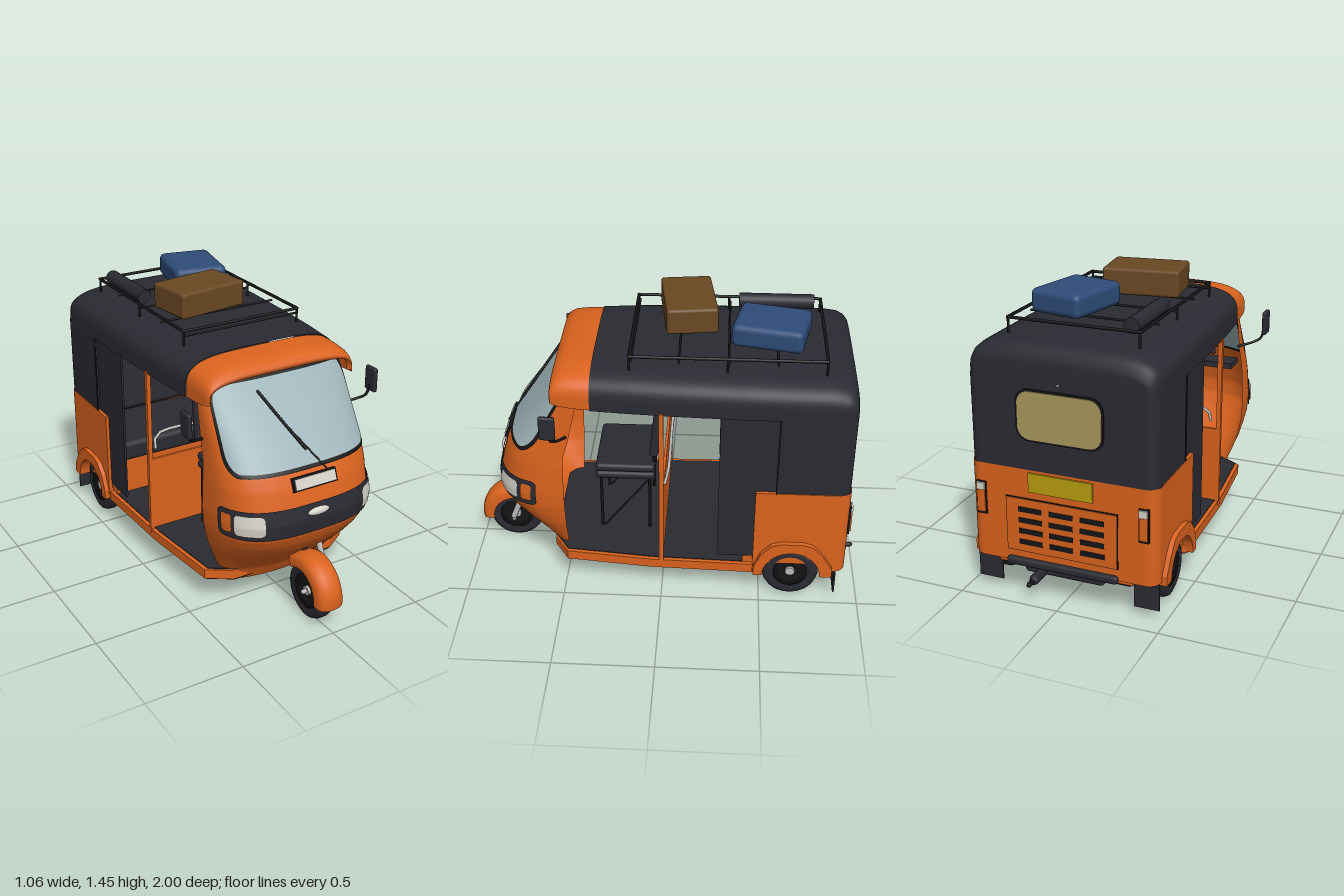
import * as THREE from 'three';
import { RoundedBoxGeometry } from 'three/addons/geometries/RoundedBoxGeometry.js';

const paint = (name, color, side = THREE.DoubleSide) => {
  const m = new THREE.MeshStandardMaterial({ color, side });
  m.name = name;
  return m;
};

export function createModel() {
  const orange = paint('orange', 0xdb631e), charcoal = paint('charcoal', 0x2a2a32), black = paint('black', 0x151517);
  const glass = paint('glass', 0xa0b6bb), white = paint('lampWhite', 0xd6d3c9), silver = paint('silver', 0xbdbdb9);
  const brown = paint('brown', 0x6a4823), blue = paint('blue', 0x2e4c78), yellow = paint('yellow', 0xb89c10), tan = paint('tan', 0xa8985c);
  const root = new THREE.Group();
  root.name = 'threeWheeler';

  const add = (name, geo, mat, x = 0, y = 0, z = 0) => {
    const m = new THREE.Mesh(geo, mat);
    m.name = name;
    m.position.set(x, y, z);
    root.add(m);
    return m;
  };
  const box = (name, mat, w, h, d, x, y, z) => add(name, new THREE.BoxGeometry(w, h, d), mat, x, y, z);
  const soft = (name, mat, w, h, d, x, y, z, r = 0.02) => add(name, new RoundedBoxGeometry(w, h, d, 3, r), mat, x, y, z);
  const rod = (name, mat, r, ...pts) => {
    const v = pts.map(p => new THREE.Vector3(...p));
    const path = v.length > 2 ? new THREE.CatmullRomCurve3(v) : new THREE.LineCurve3(v[0], v[1]);
    const g = new THREE.Group();
    g.name = name;
    const part = geo => g.add(new THREE.Mesh(geo, mat));
    part(new THREE.TubeGeometry(path, v.length > 2 ? 20 : 1, r, 8));
    [v[0], v[v.length - 1]].forEach(p => part(new THREE.SphereGeometry(r, 8, 6).translate(p.x, p.y, p.z)));
    root.add(g);
  };
  // Bends a plane by a rule (u, v) -> [x, y, z]
  const sheet = (nu, nv, rule) => {
    const g = new THREE.PlaneGeometry(1, 1, nu, nv), p = g.attributes.position, t = g.attributes.uv;
    for (let i = 0; i < p.count; i++) p.setXYZ(i, ...rule(t.getX(i), t.getY(i)));
    g.computeVertexNormals();
    return g;
  };
  // Linear lookup in rows of [key, ...values]
  const lookup = (rows, k) => {
    let i = 1;
    while (i < rows.length - 1 && rows[i][0] < k) i++;
    const a = rows[i - 1], b = rows[i], t = (k - a[0]) / (b[0] - a[0]);
    return a.map((q, j) => q + (b[j] - q) * t);
  };

  // Front cowl: plan superellipses by height [y, half width, front z, rear z, exponent]
  const levels = [
    [0.125, 0.29, 0.565, 0.485, 2], [0.2, 0.325, 0.61, 0.485, 2], [0.265, 0.352, 0.68, 0.485, 2.1],
    [0.36, 0.387, 0.77, 0.485, 2.4], [0.42, 0.4, 0.812, 0.485, 2.7], [0.48, 0.41, 0.84, 0.485, 3],
    [0.56, 0.415, 0.848, 0.485, 3], [0.64, 0.412, 0.83, 0.485, 3], [0.72, 0.41, 0.806, 0.485, 3],
    [0.79, 0.405, 0.772, 0.48, 3], [0.87, 0.4, 0.712, 0.455, 3], [1.07, 0.395, 0.555, 0.41, 3], [1.18, 0.385, 0.475, 0.38, 3]];
  const cowlPoint = (deg, y, off = 0) => {
    const [, w, zf, zr, n] = lookup(levels, y), a = THREE.MathUtils.degToRad(deg);
    const s = Math.abs(Math.sin(a)), c = Math.max(0, Math.cos(a)), sg = Math.sign(a);
    const nx = s ** (2 - 2 / n) / w, nz = c ** (2 - 2 / n) / (zf - zr), l = Math.hypot(nx, nz);
    return [sg * (w * s ** (2 / n) + off * nx / l), y, zr + (zf - zr) * c ** (2 / n) + off * nz / l];
  };
  add('frontCowl', sheet(56, 72, (u, v) => cowlPoint(180 * u - 90, 0.125 + 1.055 * v)), orange);
  // Rounded patch lying on the cowl between two angles and two heights
  const patch = (name, mat, a0, a1, y0, y1, r, off, ra = r * 170) => add(name, sheet(40, 28, (u, v) => {
    const y = y0 + (y1 - y0) * (0.5 - 0.5 * Math.cos(Math.PI * v));
    const k = Math.max(0, 1 - Math.min(y - y0, y1 - y) / r), inset = ra * (1 - Math.sqrt(1 - Math.min(1, k * k)));
    return cowlPoint(a0 + inset + (a1 - a0 - 2 * inset) * u, y, off);
  }), mat);
  for (const s of [1, -1]) {
    patch('windshieldRim', black, -65, 65, 0.785, 1.172, 0.09, s * 0.006);
    patch('windshield', glass, -60, 60, 0.803, 1.156, 0.08, s * 0.01);
  }
  patch('lampBezel', charcoal, -76, 76, 0.49, 0.637, 0.03, 0.007);
  for (const s of [1, -1]) {
    const side = (name, mat, a, b, y0, y1, r, off) => patch(name, mat, Math.min(s * a, s * b), Math.max(s * a, s * b), y0, y1, r, off);
    side('headlight', white, 31, 59, 0.515, 0.62, 0.025, 0.014);
    side('frontIndicator', orange, 62, 72, 0.52, 0.615, 0.015, 0.012);
  }
  const badge = add('noseLamp', new THREE.SphereGeometry(1, 20, 12), white, 0, 0.594, 0.846);
  badge.scale.set(0.06, 0.02, 0.018);
  box('frontPlateFrame', black, 0.24, 0.066, 0.02, 0, 0.735, 0.802).rotation.x = -0.38;
  box('frontPlate', white, 0.222, 0.05, 0.02, 0, 0.736, 0.806).rotation.x = -0.38;
  // Wiper follows the windshield
  const onGlass = (x, y) => {
    const [, w] = lookup(levels, y);
    const deg = Math.sign(x) * THREE.MathUtils.radToDeg(Math.asin((Math.abs(x) / w) ** 1.5));
    return cowlPoint(deg, y, 0.026);
  };
  rod('wiperArm', black, 0.004, onGlass(0.065, 0.78), onGlass(0.03, 0.83), onGlass(-0.08, 0.99));
  rod('wiperBlade', black, 0.007, onGlass(-0.15, 1.115), onGlass(-0.08, 0.99), onGlass(-0.01, 0.87));

  // Roof arches by station [z, half width, top, hem]
  const roof = (name, mat, rows) => add(name, sheet(40, rows.length - 1, (u, v) => {
    const [z, w, top, hem] = rows[Math.round(v * (rows.length - 1))], a = Math.PI * u, c = Math.cos(a);
    return [Math.sign(c) * w * Math.abs(c) ** 0.5, hem + (top - hem) * Math.max(0, Math.sin(a)) ** 0.5, z];
  }), mat);
  roof('roofVisor', orange, [[0.34, 0.414, 1.25, 1.07], [0.42, 0.411, 1.247, 1.073], [0.48, 0.407, 1.238, 1.08],
    [0.51, 0.403, 1.222, 1.085], [0.527, 0.398, 1.203, 1.09], [0.532, 0.392, 1.185, 1.095], [0.5, 0.385, 1.18, 1.095]]);
  roof('canvasRoof', charcoal, [[0.34, 0.418, 1.254, 1.068], [0.15, 0.436, 1.257, 1.07], [-0.1, 0.45, 1.258, 1.07],
    [-0.4, 0.46, 1.257, 1.07], [-0.8, 0.464, 1.252, 1.07], [-0.86, 0.462, 1.243, 1.07], [-0.895, 0.452, 1.223, 1.07],
    [-0.915, 0.436, 1.196, 1.07], [-0.922, 0.41, 1.165, 1.07], [-0.922, 0.01, 1.08, 1.07]]);

  // Rear walls: a U-shaped plan with rounded corners
  const rearWall = (name, mat, zFront, zBack, w, r, y0, y1) => {
    const plan = [[w, zFront]];
    for (let i = 0; i <= 8; i++) plan.push([w - r + r * Math.cos(i * Math.PI / 16), zBack + r - r * Math.sin(i * Math.PI / 16)]);
    const pts = plan.concat(plan.map(([x, z]) => [-x, z]).reverse());
    add(name, sheet(pts.length - 1, 1, (u, v) => {
      const [x, z] = pts[Math.round(u * (pts.length - 1))];
      return [x, y0 + (y1 - y0) * v, z];
    }), mat);
  };
  rearWall('rearCanvas', charcoal, -0.56, -0.922, 0.462, 0.055, 0.64, 1.075);
  rearWall('rearBody', orange, -0.85, -0.927, 0.466, 0.06, 0.18, 0.655);

  // Side plates drawn in (z, y), extruded along x, outer face at x1
  const sidePlate = (name, mat, pts, arch, depth, x1) => {
    const s = new THREE.Shape();
    pts.forEach(([z, y], i) => (i ? s.lineTo(z, y) : s.moveTo(z, y)));
    if (arch) s.absarc(-0.655, 0.16, 0.145, Math.PI, 0, true);
    add(name, new THREE.ExtrudeGeometry(s, { depth, bevelEnabled: false, curveSegments: 20 }).rotateY(-Math.PI / 2), mat, x1);
  };
  for (const s of [1, -1]) {
    const at = (outer, depth) => (s > 0 ? outer : -outer + depth);
    sidePlate('rearSide', orange, [[-0.51, 0.16], [-0.46, 0.16], [-0.46, 0.655], [-0.86, 0.655], [-0.86, 0.18], [-0.8, 0.16]], true, 0.02, at(0.466, 0.02));
    sidePlate('rearFender', orange, [[-0.51, 0.16], [-0.465, 0.16], [-0.465, 0.21], [-0.5, 0.29], [-0.55, 0.345], [-0.6, 0.36],
      [-0.71, 0.36], [-0.76, 0.345], [-0.81, 0.29], [-0.86, 0.21], [-0.86, 0.16], [-0.8, 0.16]], true, 0.06, at(0.49, 0.06));
    sidePlate('sideCurtain', charcoal, [[-0.28, 0.25], [-0.28, 1.08], [-0.57, 1.08], [-0.57, 0.25]], false, 0.012, at(0.449, 0.012));
    box('canvasSeam', black, 0.006, 0.42, 0.008, s * 0.463, 0.86, -0.56);
    box('doorPillar', orange, 0.022, 0.9, 0.022, s * 0.44, 0.63, 0);

    // Mirrors
    rod('mirrorArm', black, 0.007, [s * 0.39, 0.9, 0.46], [s * 0.47, 0.925, 0.5], [s * 0.497, 0.945, 0.52], [s * 0.51, 1.0, 0.53]);
    soft('mirror', charcoal, 0.024, 0.125, 0.078, s * 0.517, 1.028, 0.53, 0.01);

    // Tail lamps and mudflaps
    box('tailLampBase', black, 0.05, 0.165, 0.012, s * 0.405, 0.48, -0.927);
    box('tailLampTop', white, 0.04, 0.035, 0.03, s * 0.405, 0.54, -0.927);
    box('tailLamp', orange, 0.04, 0.11, 0.026, s * 0.405, 0.465, -0.927);
    box('mudflap', charcoal, 0.125, 0.15, 0.008, s * 0.4, 0.115, -0.88);
  }

  // Rear details
  const roundedPlate = (name, mat, w, h, r, y, z) => {
    const s = new THREE.Shape(), a = w / 2 - r, b = h / 2 - r;
    [[a, b], [-a, b], [-a, -b], [a, -b]].forEach(([x, q], i) => s.absarc(x, q, r, i * Math.PI / 2, (i + 1) * Math.PI / 2));
    add(name, new THREE.ExtrudeGeometry(s, { depth: 0.006, bevelEnabled: false }), mat, 0, y, z);
  };
  roundedPlate('rearWindowRim', black, 0.43, 0.25, 0.065, 0.92, -0.927);
  roundedPlate('rearWindow', tan, 0.41, 0.23, 0.06, 0.92, -0.931);
  box('rearPlate', yellow, 0.32, 0.095, 0.012, 0, 0.595, -0.929);
  box('engineHatchGap', black, 0.56, 0.275, 0.006, 0, 0.375, -0.927);
  box('engineHatch', orange, 0.55, 0.265, 0.01, 0, 0.375, -0.929);
  for (const x of [-0.155, 0, 0.155]) for (let i = 0; i < 4; i++) box('louver', black, 0.12, 0.026, 0.006, x, 0.455 - i * 0.055, -0.933);
  soft('rearBumper', charcoal, 0.56, 0.04, 0.05, 0, 0.185, -0.925, 0.015);

  // Floor and sills
  const floor = (name, mat, inset, y, h) => {
    const half = [[0.29, 0.56], [0.405, 0.485], [0.447, 0.05], [0.46, -0.45], [0.46, -0.51], [0.34, -0.52], [0.34, -0.9]];
    const pts = half.concat(half.map(([x, z]) => [-x, z]).reverse());
    const s = new THREE.Shape(pts.map(([x, z]) => new THREE.Vector2(x - Math.sign(x) * inset, -z)));
    add(name, new THREE.ExtrudeGeometry(s, { depth: h, bevelEnabled: false }).rotateX(-Math.PI / 2), mat, 0, y, 0);
  };
  floor('sill', orange, 0, 0.152, 0.05);
  floor('floorMat', charcoal, 0.02, 0.2, 0.006);
  floor('underside', black, 0.012, 0.146, 0.008);

  // Driver seat
  for (const y of [0.537, 0.582]) soft('driverCushion', charcoal, 0.4, 0.045, 0.305, 0, y, 0.2);
  soft('driverBackrest', charcoal, 0.42, 0.29, 0.045, 0, 0.808, 0.04).rotation.x = -0.1;
  for (const x of [-0.18, 0.18]) {
    for (const z of [0.325, 0.075]) rod('seatLeg', black, 0.008, [x, 0.2, z], [x, 0.52, z]);
    rod('seatBrace', black, 0.005, [x, 0.21, 0.31], [x, 0.51, 0.08]);
    rod('backrestPost', black, 0.007, [x * 0.8, 0.55, 0.06], [x * 0.8, 0.7, 0.05]);
  }
  // Partition, grab rail and passenger bench
  box('partition', orange, 0.88, 0.4, 0.014, 0, 0.4, 0);
  rod('grabRail', silver, 0.008, [-0.4, 0.65, -0.015], [-0.385, 0.71, -0.03], [0, 0.715, -0.03], [0.385, 0.71, -0.03], [0.4, 0.65, -0.015]);
  box('benchBase', orange, 0.88, 0.23, 0.34, 0, 0.315, -0.58);
  soft('benchCushion', charcoal, 0.88, 0.11, 0.42, 0, 0.48, -0.55, 0.03);
  soft('benchBackrest', charcoal, 0.86, 0.42, 0.09, 0, 0.74, -0.79, 0.03).rotation.x = -0.12;
  // Steering and dash
  box('dashShelf', charcoal, 0.68, 0.03, 0.12, 0, 0.765, 0.56);
  rod('steeringColumn', charcoal, 0.02, [0, 0.34, 0.74], [0, 0.83, 0.55]);
  rod('handlebar', charcoal, 0.014, [-0.24, 0.84, 0.5], [-0.1, 0.84, 0.545], [0.1, 0.84, 0.545], [0.24, 0.84, 0.5]);

  // Wheels turned about x
  const lathe = (profile, start = 0, length = Math.PI * 2) =>
    new THREE.LatheGeometry(profile.map(p => new THREE.Vector2(...p)), 40, start, length).rotateZ(Math.PI / 2);
  const wheel = (x, z) => {
    add('tyre', lathe([[0.085, -0.036], [0.115, -0.042], [0.135, -0.034], [0.143, -0.015], [0.143, 0.015], [0.135, 0.034], [0.115, 0.042], [0.085, 0.036]]), charcoal, x, 0.144, z);
    add('rim', lathe([[0, -0.02], [0.06, -0.022], [0.088, -0.037], [0.088, 0.037], [0.06, 0.022], [0, 0.02]]), black, x, 0.144, z);
    add('hub', new THREE.CylinderGeometry(0.024, 0.024, 0.07, 16).rotateZ(Math.PI / 2), silver, x, 0.144, z);
  };
  wheel(0, 0.815);
  wheel(0.402, -0.655);
  wheel(-0.402, -0.655);
  add('frontFender', lathe([[0.12, -0.07], [0.15, -0.07], [0.175, -0.058], [0.187, -0.03], [0.19, 0], [0.187, 0.03], [0.175, 0.058], [0.15, 0.07], [0.12, 0.07]], -0.12, 2.35), orange, 0, 0.152, 0.81);
  rod('forkLeg', silver, 0.015, [0.082, 0.34, 0.75], [0.082, 0.165, 0.82]);
  rod('frontAxle', silver, 0.012, [-0.05, 0.144, 0.815], [0.085, 0.15, 0.82]);

  // Drivetrain and exhaust
  rod('rearAxle', black, 0.022, [-0.38, 0.144, -0.655], [0.38, 0.144, -0.655]);
  soft('engine', charcoal, 0.41, 0.1, 0.36, 0.035, 0.13, -0.67, 0.02);
  rod('muffler', charcoal, 0.024, [0.145, 0.1, -0.72], [0.145, 0.1, -0.935]);
  rod('exhaustTip', black, 0.012, [0.145, 0.1, -0.93], [0.145, 0.1, -0.988]);

  // Roof rack
  const corners = [[0.322, 0.157], [-0.322, 0.157], [-0.322, -0.767], [0.322, -0.767]];
  corners.forEach(([x, z], i) => {
    const [x2, z2] = corners[(i + 1) % 4];
    rod('rackRail', black, 0.008, [x, 1.313, z], [x2, 1.313, z2]);
  });
  for (const z of [0.157, -0.305, -0.767]) for (const x of [-0.32, 0.32]) rod('rackLeg', black, 0.006, [x, 1.23, z], [x, 1.313, z]);
  for (const z of [0.15, -0.075, -0.31, -0.54]) rod('rackSlat', black, 0.006, [-0.32, 1.287, z], [0.32, 1.287, z]);

  // Luggage
  soft('brownCase', brown, 0.375, 0.13, 0.25, -0.087, 1.383, -0.108, 0.015).rotation.y = 0.13;
  soft('blueCase', blue, 0.275, 0.115, 0.345, 0.1, 1.367, -0.51, 0.03).rotation.y = -0.21;
  add('bedroll', new THREE.CylinderGeometry(0.037, 0.037, 0.375, 20).rotateX(Math.PI / 2), charcoal, -0.265, 1.325, -0.542);

  return root;
}
